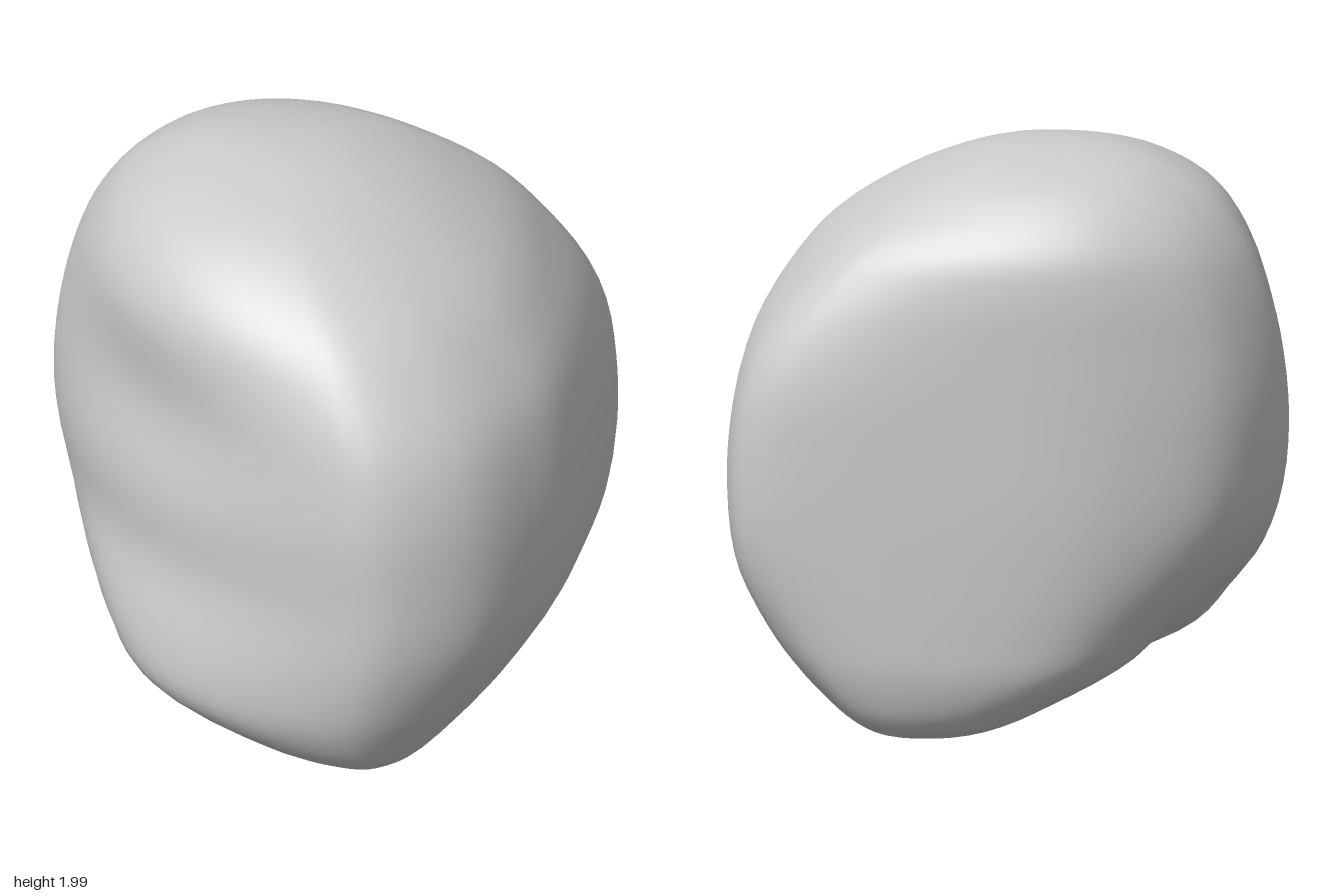
import * as THREE from 'three';
import { mergeVertices } from 'three/addons/utils/BufferGeometryUtils.js';

const { smoothstep: step, lerp } = THREE.MathUtils;
const bell = (value, centre, width) => Math.exp(-(((value - centre) / width) ** 2));

// Extents of the stone at rising heights: y, xMin, xMax, zMin, zMax
const levels = [
  [0, 0.24, 0.24, -0.1, -0.1],
  [0, 0.18, 0.29, -0.5, 0.3],
  [0.015, 0.06, 0.38, -0.64, 0.46],
  [0.05, -0.1, 0.48, -0.74, 0.57],
  [0.12, -0.28, 0.58, -0.8, 0.69],
  [0.25, -0.55, 0.71, -0.84, 0.775],
  [0.4, -0.7, 0.815, -0.85, 0.825],
  [0.6, -0.84, 0.905, -0.855, 0.86],
  [0.85, -0.92, 0.935, -0.86, 0.87],
  [1.1, -0.94, 0.92, -0.86, 0.868],
  [1.35, -0.92, 0.865, -0.86, 0.825],
  [1.55, -0.875, 0.75, -0.855, 0.735],
  [1.7, -0.81, 0.62, -0.825, 0.62],
  [1.83, -0.71, 0.43, -0.73, 0.45],
  [1.92, -0.57, 0.24, -0.61, 0.26],
  [1.98, -0.4, 0.04, -0.4, 0],
  [2, -0.2, -0.2, -0.2, -0.2],
];

// Rounded triangular plan in x, z, scaled to a -1..1 box
const plan = [
  [1, -0.35], [0.98, 0.15], [0.9, 0.46], [0.73, 0.8], [0.45, 0.99], [0.2, 0.96],
  [-0.2, 0.78], [-0.55, 0.52], [-0.82, 0.18], [-0.98, -0.18], [-0.99, -0.42], [-0.83, -0.74],
  [-0.55, -0.91], [-0.2, -0.99], [0.4, -1], [0.72, -0.98], [0.87, -0.93], [0.96, -0.8],
];

// Plan near the base, where the oblique front wall reaches further out
const basePlan = [
  [1, -0.4], [0.98, 0.1], [0.88, 0.5], [0.68, 0.82], [0.4, 0.98], [0.1, 1],
  [-0.35, 0.93], [-0.75, 0.76], [-0.97, 0.52], [-1, 0.15], [-0.88, -0.25], [-0.8, -0.6],
  [-0.6, -0.85], [-0.25, -0.97], [0.35, -1], [0.7, -0.96], [0.86, -0.87], [0.95, -0.72],
];

const smoothCurve = (points, closed) =>
  new THREE.CatmullRomCurve3(points.map((p) => new THREE.Vector3(...p)), closed, 'catmullrom', 0.5);

function stoneGeometry(cols = 64, rows = 56) {
  const xCurve = smoothCurve(levels.map(([y, x0, x1]) => [x0, y, x1]), false);
  const zCurve = smoothCurve(levels.map(([y, , , z0, z1]) => [z0, y, z1]), false);
  const outline = smoothCurve(plan.map(([u, v]) => [u, 0, v]), true);
  const baseOutline = smoothCurve(basePlan.map(([u, v]) => [u, 0, v]), true);
  const positions = [];
  const index = [];

  for (let j = 0; j <= rows; j++) {
    const xs = xCurve.getPoint(j / rows);
    const zs = zCurve.getPoint(j / rows);
    const h = xs.y;
    const upper = step(h, 0.15, 0.8);
    // The plan eases into an ellipse towards the crown
    const roundness = 0.7 * step(h, 1.1, 2);

    for (let i = 0; i < cols; i++) {
      const p = baseOutline.getPoint(i / cols).lerp(outline.getPoint(i / cols), upper);
      // Shallow dip high on the oblique front wall
      const dip = 0.06 * bell(h, 1.36, 0.28) * bell(p.x + p.z, 0, 0.8) * step(p.z - p.x, 0, 0.8);
      let u = p.x + dip;
      let v = p.z - dip;
      const scale = 1 + (1 / Math.hypot(u, v) - 1) * roundness;
      u *= scale;
      v *= scale;

      let x = lerp(xs.x, xs.z, (u + 1) / 2);
      const z = lerp(zs.x, zs.z, (v + 1) / 2);
      // Hollow along the underside, turning up under the -x end
      const y = Math.max(0, h)
        + 0.055 * bell(z, -0.09, 0.28) * bell(h, 0, 0.25)
        + 0.08 * bell(z, -0.22, 0.22) * bell(h, 0.27, 0.2) * (1 - step(x, -0.5, 0.1));
      // Hollow between the two lower lobes on the +x side
      x -= 0.15 * bell(z, -0.08, 0.33) * bell(h, 0.1, 0.31) * step(x, 0.1, 0.6);
      positions.push(x, y, z);
    }
  }

  // Skin, with single triangles at the two poles
  for (let j = 0; j < rows; j++) {
    for (let i = 0; i < cols; i++) {
      const a = j * cols + i;
      const b = j * cols + ((i + 1) % cols);
      const c = a + cols;
      const d = b + cols;
      if (j > 0) index.push(a, c, b);
      if (j < rows - 1) index.push(b, c, d);
    }
  }

  const geometry = new THREE.BufferGeometry();
  geometry.setAttribute('position', new THREE.Float32BufferAttribute(positions, 3));
  geometry.setIndex(index);
  const welded = mergeVertices(geometry, 1e-5);
  welded.computeVertexNormals();
  return welded;
}

export function createModel() {
  const group = new THREE.Group();
  group.name = 'stone';
  const body = new THREE.Mesh(
    stoneGeometry(),
    new THREE.MeshStandardMaterial({ color: 0xcccccc })
  );
  body.name = 'stoneBody';
  group.add(body);
  return group;
}
